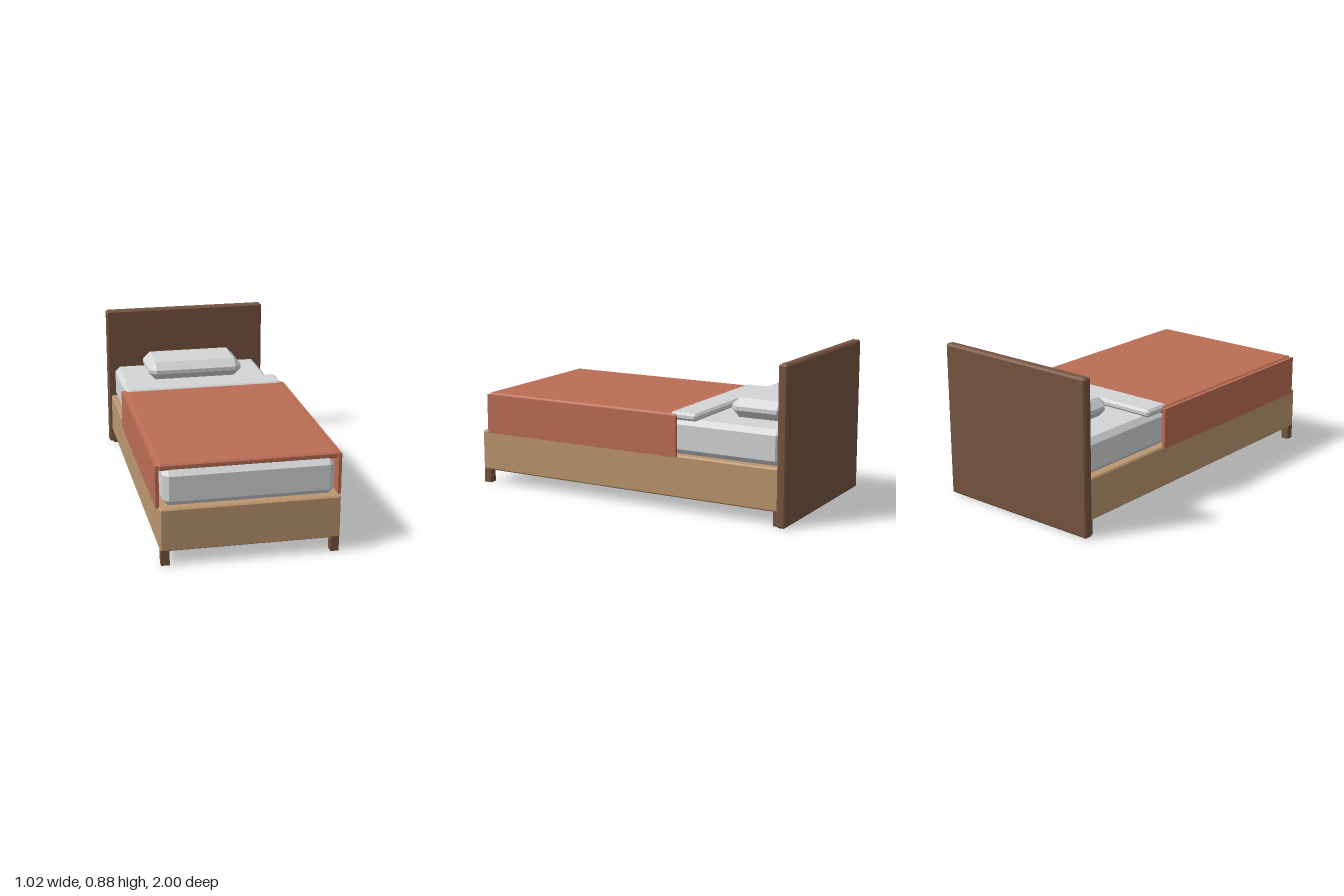
import * as THREE from 'three';
import { ConvexGeometry } from 'three/addons/geometries/ConvexGeometry.js';

const material = (name, color) => {
  const m = new THREE.MeshStandardMaterial({ color });
  m.name = name;
  return m;
};

// Box with 45-degree chamfers on every edge, given by its min/max extents
function chamferBox(name, mat, [x0, x1], [y0, y1], [z0, z1], bevel) {
  const hx = (x1 - x0) / 2, hy = (y1 - y0) / 2, hz = (z1 - z0) / 2;
  const points = [];
  for (const sx of [-1, 1]) for (const sy of [-1, 1]) for (const sz of [-1, 1]) {
    const corner = (bx, by, bz) => points.push(
      new THREE.Vector3(sx * (hx - bx), sy * (hy - by), sz * (hz - bz)));
    corner(0, bevel, bevel);
    corner(bevel, 0, bevel);
    corner(bevel, bevel, 0);
  }
  const mesh = new THREE.Mesh(new ConvexGeometry(points), mat);
  mesh.name = name;
  mesh.position.set((x0 + x1) / 2, (y0 + y1) / 2, (z0 + z1) / 2);
  return mesh;
}

export function createModel() {
  const darkWood = material('dark wood', 0x765440);
  const lightWood = material('light wood', 0xbb966e);
  const linen = material('white linen', 0xd3d5d7);
  const wool = material('red blanket', 0xbb6d55);

  const bed = new THREE.Group();
  bed.name = 'bed';

  // Frame and headboard
  bed.add(chamferBox('frame', lightWood, [-0.49, 0.49], [0.08, 0.32], [-0.95, 1], 0.008));
  bed.add(chamferBox('headboard', darkWood, [-0.51, 0.51], [0, 0.885], [-1, -0.945], 0.01));

  // Four short legs
  for (const side of [-1, 1]) {
    for (const [end, z] of [['front', 0.975], ['back', -0.942]]) {
      const leg = new THREE.Mesh(new THREE.BoxGeometry(0.046, 0.085, 0.046), darkWood);
      leg.name = end + (side > 0 ? 'LeftLeg' : 'RightLeg');
      leg.position.set(side * 0.463, 0.0425, z);
      bed.add(leg);
    }
  }

  // Mattress, pillow and folded sheet
  bed.add(chamferBox('mattress', linen, [-0.465, 0.465], [0.32, 0.52], [-0.945, 0.973], 0.03));
  bed.add(chamferBox('pillow', linen, [-0.295, 0.295], [0.522, 0.633], [-0.883, -0.55], 0.044));
  bed.add(chamferBox('foldedSheet', linen, [-0.48, 0.48], [0.518, 0.561], [-0.447, -0.28], 0.013));

  // Blanket: top panel and a hanging panel on each side
  bed.add(chamferBox('blanketTop', wool, [-0.487, 0.487], [0.515, 0.552], [-0.33, 0.95], 0.01));
  for (const side of [-1, 1]) {
    const panel = new THREE.Mesh(new THREE.BoxGeometry(0.019, 0.233, 1.28), wool);
    panel.name = side > 0 ? 'blanketLeftSide' : 'blanketRightSide';
    panel.position.set(side * 0.4945, 0.4275, 0.31);
    bed.add(panel);
  }

  return bed;
}
